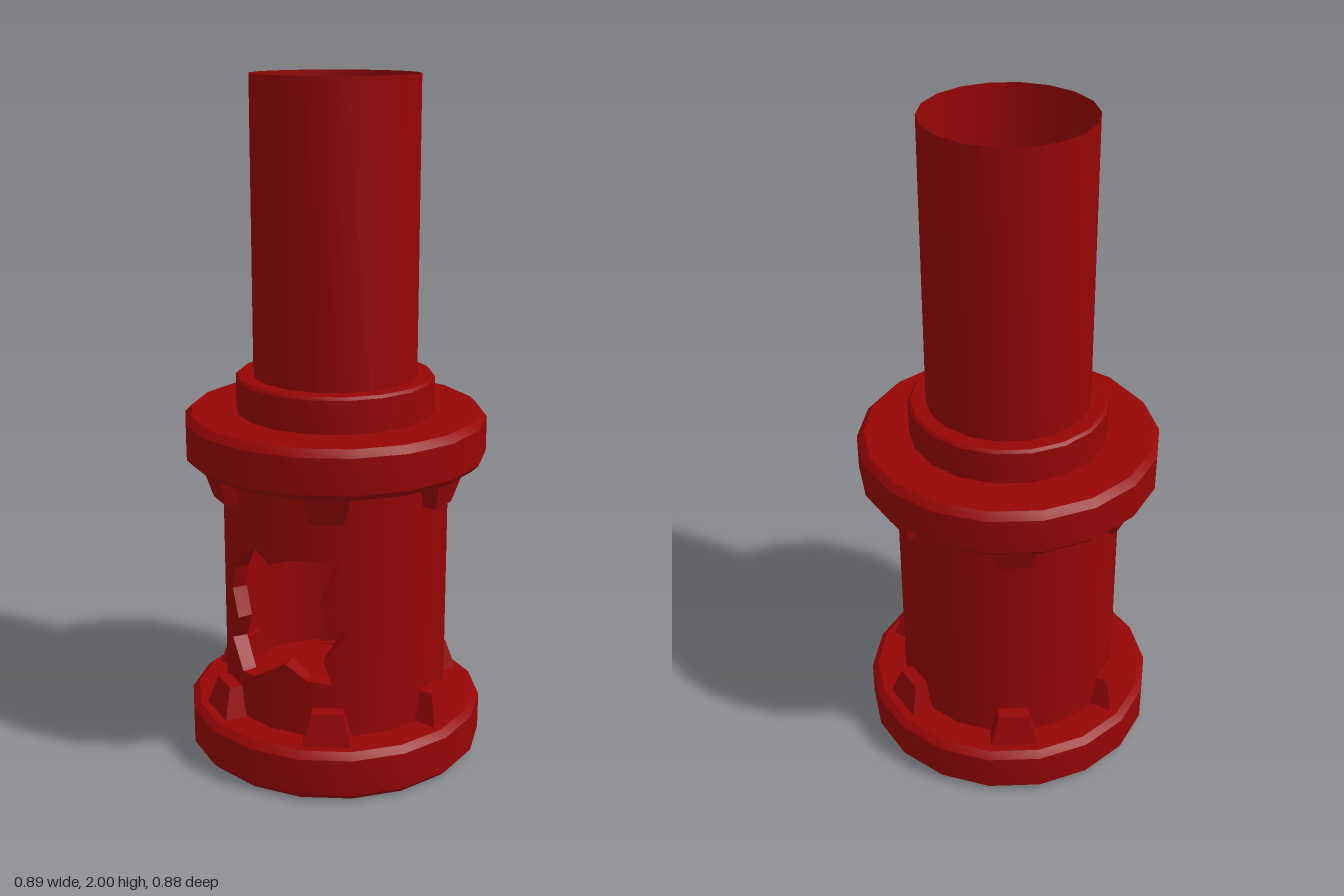
import * as THREE from 'three';
import { toCreasedNormals } from 'three/addons/utils/BufferGeometryUtils.js';

const SIDES = 18;
const STEP = 360 / SIDES;
const rad = THREE.MathUtils.degToRad;
const material = new THREE.MeshStandardMaterial({ color: 0x960505, side: THREE.DoubleSide });

function mesh(name, geometry) {
  const m = new THREE.Mesh(geometry, material);
  m.name = name;
  return m;
}

// 18-sided turned part with corners on the x axis, smooth around and sharp at the rims
function turned(name, profile) {
  const points = profile.map(([r, y]) => new THREE.Vector2(r, y));
  return mesh(name, toCreasedNormals(new THREE.LatheGeometry(points, SIDES, Math.PI / 2), 0.5));
}

// Point on the 18-sided wall: angle runs from +x towards +z, measured along flat a
function onWall(deg, y, r, a = Math.floor(deg / STEP) * STEP) {
  const corner = d => new THREE.Vector3(r * Math.cos(rad(d)), y, r * Math.sin(rad(d)));
  return corner(a).lerp(corner(a + STEP), (deg - a) / STEP);
}

// Ragged hole as [angle, height]; lower edge, far side, upper edge, near side
const HOLE = [
  [140, 0.32], [152, 0.36], [160, 0.33], [172, 0.29], [180, 0.29],
  [193, 0.37], [185, 0.45], [192, 0.53], [189, 0.60], [180, 0.66],
  [170, 0.69], [160, 0.66], [150, 0.68], [140, 0.69],
  [124, 0.68], [134, 0.56], [121, 0.47], [132, 0.38], [128, 0.31],
];
const WALL_R = 0.336, WALL_Y0 = 0.13, WALL_Y1 = 0.92;

// Outlines of one flat of the wall, with the hole left out
function panelOutlines(a) {
  const b = a + STEP, lo = WALL_Y0, hi = WALL_Y1;
  const edge = (from, to) => HOLE.slice(from, to).reverse();
  if (a === 120) return [[[a, lo], [b, lo], HOLE[0], ...edge(13), [b, hi], [a, hi]]];
  if (a === 140) return [
    [[a, lo], [b, lo], ...edge(0, 3)],
    [[b, hi], [a, hi], ...edge(11, 14)],
  ];
  if (a === 160) return [
    [[a, lo], [b, lo], ...edge(2, 5)],
    [[b, hi], [a, hi], ...edge(9, 12)],
  ];
  if (a === 180) return [[[a, lo], [b, lo], [b, hi], [a, hi], ...edge(4, 10)]];
  return [[[a, lo], [b, lo], [b, hi], [a, hi]]];
}

function drumWall() {
  const group = new THREE.Group();
  group.name = 'drumWall';
  for (let a = 0; a < 360; a += STEP) {
    for (const outline of panelOutlines(a)) {
      // Angle is mirrored so the faces look outwards
      const g = new THREE.ShapeGeometry(new THREE.Shape(outline.map(([d, y]) => new THREE.Vector2(-d, y))));
      const p = g.attributes.position, n = g.attributes.normal;
      for (let k = 0; k < p.count; k++) {
        const deg = -p.getX(k);
        const v = onWall(deg, p.getY(k), WALL_R, a);
        p.setXYZ(k, v.x, v.y, v.z);
        n.setXYZ(k, Math.cos(rad(deg)), 0, Math.sin(rad(deg)));
      }
      group.add(mesh('wallPanel', g));
    }
  }
  return group;
}

// Thickness of the torn wall around the hole
function holeRim() {
  const pos = [], index = [], n = HOLE.length;
  HOLE.forEach(([d, y], i) => {
    pos.push(...onWall(d, y, WALL_R).toArray(), ...onWall(d, y, WALL_R - 0.045).toArray());
    const o = i * 2, q = ((i + 1) % n) * 2;
    index.push(o, q, o + 1, q, q + 1, o + 1);
  });
  const g = new THREE.BufferGeometry();
  g.setAttribute('position', new THREE.Float32BufferAttribute(pos, 3));
  g.setIndex(index);
  return mesh('tornHoleRim', toCreasedNormals(g, 0.3));
}

// Tapered stud between flange and wall
function studGeometry() {
  const g = new THREE.BoxGeometry(1, 1, 1);
  const p = g.attributes.position;
  for (let i = 0; i < p.count; i++) {
    const top = p.getY(i) > 0;
    const outer = top ? 0.37 : 0.398;
    p.setXYZ(i, p.getX(i) > 0 ? outer : 0.315, top ? 0.09 : -0.01, p.getZ(i) * (top ? 0.09 : 0.145));
  }
  g.computeVertexNormals();
  return g;
}

function studRing(name, y, hanging) {
  const ring = new THREE.Group();
  ring.name = name;
  const geometry = studGeometry();
  for (let i = 0; i < 6; i++) {
    const holder = new THREE.Group();
    holder.name = 'studHolder';
    holder.position.y = y;
    holder.rotation.y = -rad(10 + i * 60);
    const stud = mesh('stud', geometry);
    if (hanging) stud.rotation.x = Math.PI;
    holder.add(stud);
    if (!hanging) {
      // Lower end showing inside the hollow base
      const end = mesh('studEnd', new THREE.BoxGeometry(0.035, 0.04, 0.14));
      end.position.set(0.342, -0.028, 0);
      holder.add(end);
    }
    ring.add(holder);
  }
  return ring;
}

export function createModel() {
  const model = new THREE.Group();
  model.name = 'flangedPipe';

  // Base flange, hollow underneath
  model.add(turned('baseFlange', [
    [0, 0.13], [0.34, 0.13], [0.385, 0.08], [0.425, 0], [0.445, 0.02],
    [0.445, 0.13], [0.425, 0.148], [0.3, 0.148],
  ]));
  model.add(drumWall(), holeRim());
  // Upper flange with the collar on top
  model.add(turned('upperFlange', [
    [0, 0.9], [0.425, 0.9], [0.445, 0.92], [0.445, 1.025], [0.425, 1.045], [0, 1.045],
  ]));
  model.add(turned('collar', [[0.292, 1.04], [0.292, 1.142], [0.284, 1.15], [0.24, 1.15]]));
  // Open pipe standing on the flange
  model.add(turned('pipe', [[0.24, 1.045], [0.24, 2]]));
  model.add(studRing('lowerStuds', 0.148, false), studRing('upperStuds', 0.9, true));
  return model;
}
